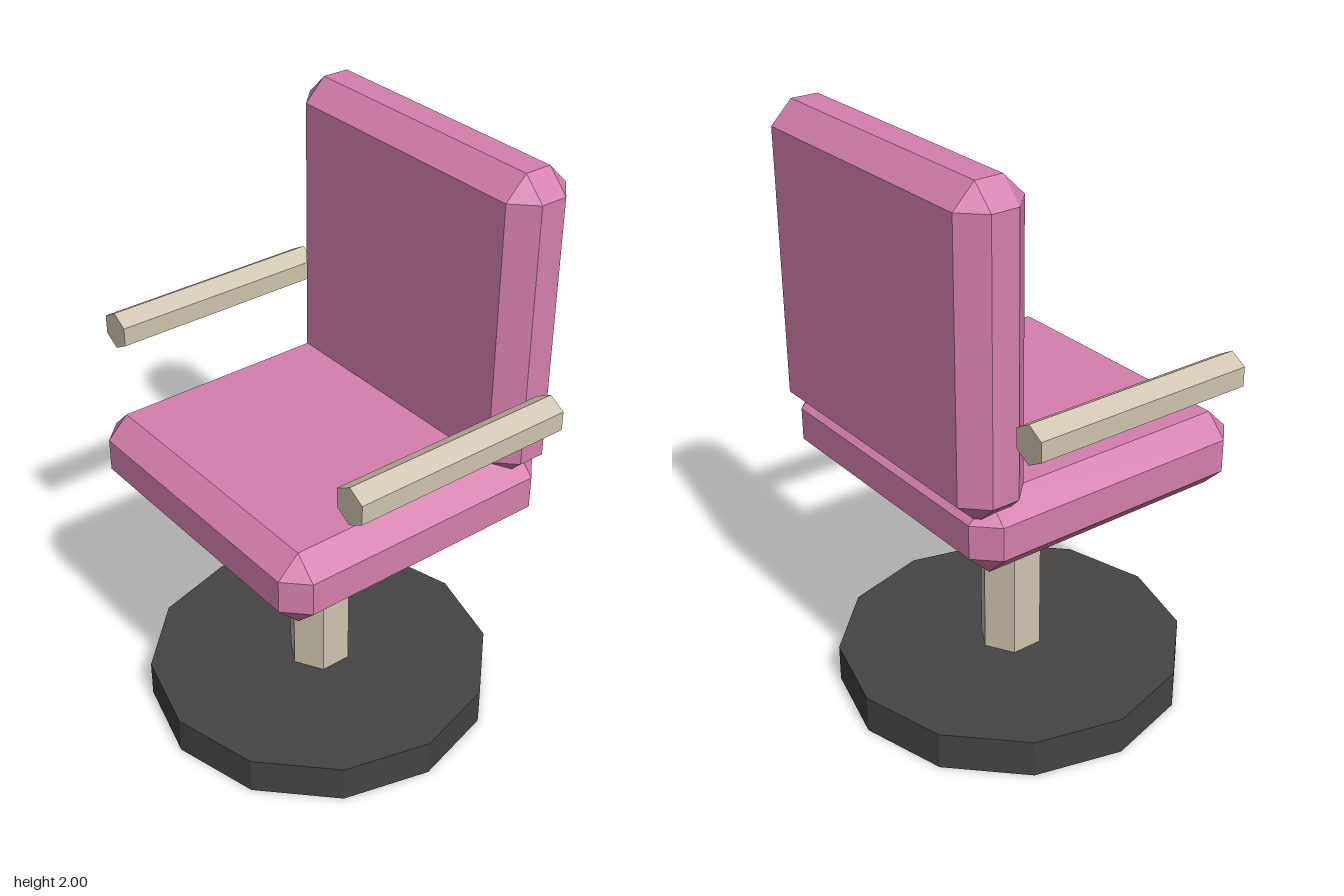
import * as THREE from 'three';
import { ConvexGeometry } from 'three/addons/geometries/ConvexGeometry.js';

const material = (name, color) => {
  const m = new THREE.MeshStandardMaterial({ color, flatShading: true });
  m.name = name;
  return m;
};

// Box with all edges bevelled and triangular corners
function bevelledBox(w, h, d, b) {
  const points = [];
  for (const sx of [-1, 1]) for (const sy of [-1, 1]) for (const sz of [-1, 1]) {
    for (let outer = 0; outer < 3; outer++) {
      const half = [w, h, d].map((size, i) => size / 2 - (i === outer ? 0 : b));
      points.push(new THREE.Vector3(sx * half[0], sy * half[1], sz * half[2]));
    }
  }
  return new ConvexGeometry(points);
}

export function createModel() {
  const group = new THREE.Group();
  group.name = 'swivelChair';
  const pink = material('pink upholstery', 0xd580ad);
  const beige = material('beige metal', 0xcfc4ae);
  const dark = material('dark base', 0x444444);

  const add = (name, geometry, mat, x, y, z) => {
    const mesh = new THREE.Mesh(geometry, mat);
    mesh.name = name;
    mesh.position.set(x, y, z);
    group.add(mesh);
    return mesh;
  };

  // Twelve-sided foot and six-sided column
  add('base', new THREE.CylinderGeometry(0.588, 0.588, 0.13, 12), dark, 0, 0.065, 0);
  add('column', new THREE.CylinderGeometry(0.108, 0.108, 0.67, 6), beige, 0, 0.465, 0);

  // Cushions
  add('seat', bevelledBox(1.06, 0.255, 1.006, 0.072), pink, 0, 0.921, 0.002);
  add('backrest', bevelledBox(1.06, 1.022, 0.236, 0.072), pink, 0, 1.489, -0.421);

  // Hexagonal armrests
  for (const [name, side] of [['leftArmrest', 1], ['rightArmrest', -1]]) {
    const bar = new THREE.CylinderGeometry(0.064, 0.064, 0.766, 6).rotateX(Math.PI / 2);
    add(name, bar, beige, side * 0.605, 1.269, -0.018);
  }
  return group;
}
